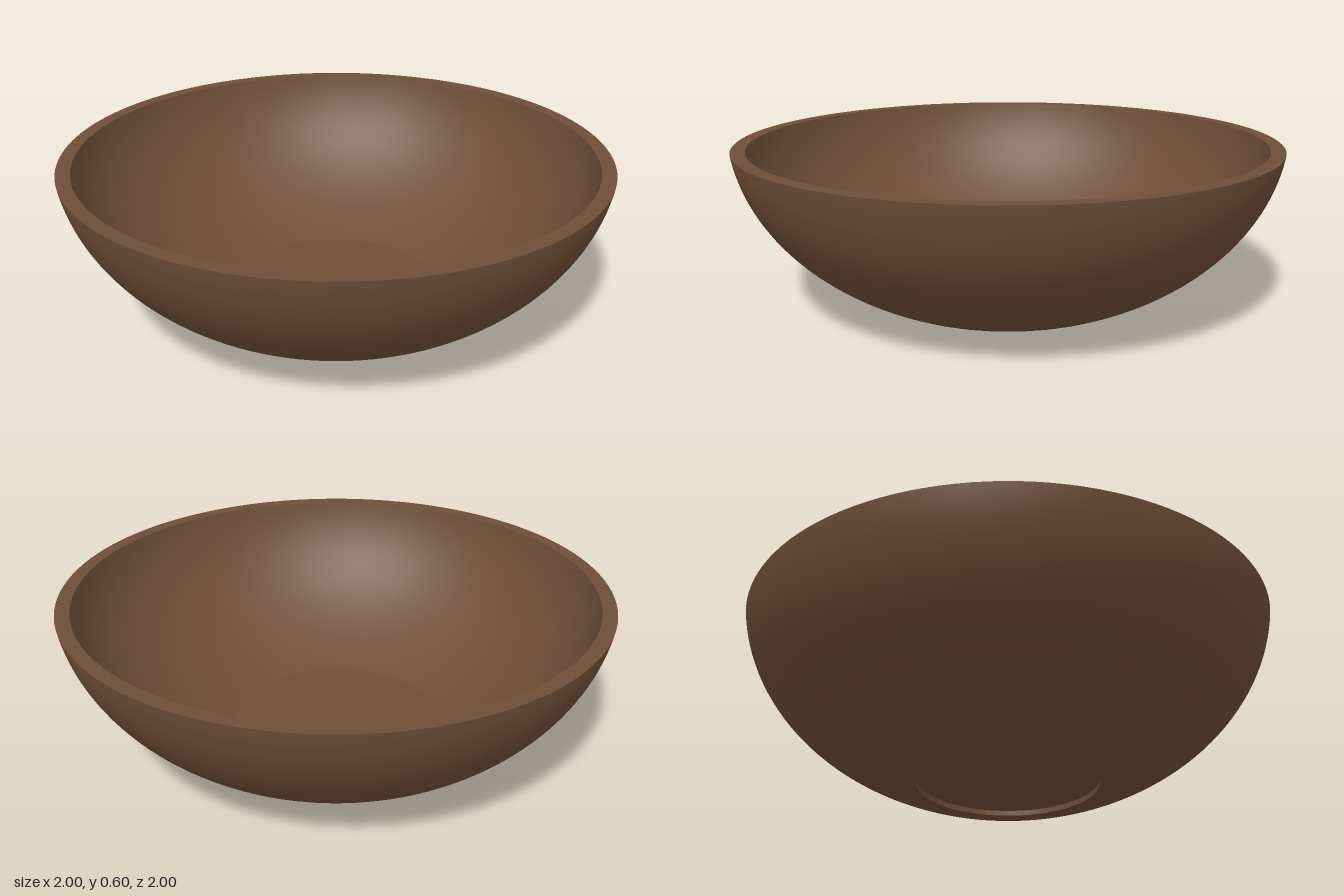
import * as THREE from 'three';

const SEGMENTS = 128;
const wood = new THREE.MeshStandardMaterial({ color: 0x6f4e37 });
wood.name = 'darkWood';

// Points on an upright ellipse, centred on the axis at height yc,
// that runs from (r0, y0) up to (r1, y1).
function ellipseArc(r0, y0, r1, y1, yc, steps = 32) {
  const p = r0 * r0, q = (y0 - yc) ** 2, s = r1 * r1, t = (y1 - yc) ** 2;
  const det = p * t - q * s;
  const a = Math.sqrt(det / (t - q));
  const b = Math.sqrt(det / (p - s));
  const start = Math.atan2((y0 - yc) / b, r0 / a);
  const end = Math.atan2((y1 - yc) / b, r1 / a);
  return Array.from({ length: steps + 1 }, (_, i) => {
    const angle = start + (end - start) * i / steps;
    return [a * Math.cos(angle), yc + b * Math.sin(angle)];
  });
}

// Each part is turned separately, so the edges between parts stay sharp.
function turned(name, profile) {
  const points = profile.map(([r, y]) => new THREE.Vector2(r, y));
  const mesh = new THREE.Mesh(new THREE.LatheGeometry(points, SEGMENTS), wood);
  mesh.name = name;
  return mesh;
}

export function createModel() {
  const bowl = new THREE.Group();
  bowl.name = 'bowl';
  bowl.add(
    // shallow recess inside the foot ring
    turned('footRecess', [[0, 0.02], [0.335, 0.02]]),
    turned('footRecessWall', [[0.335, 0.02], [0.335, 0]]),
    turned('footRing', [[0.335, 0], [0.4, 0]]),
    // curved body and flat rim
    turned('outerWall', ellipseArc(0.4, 0, 1, 0.6, 0.68)),
    turned('rim', [[1, 0.6], [0.948, 0.6]]),
    // hollow with a flat floor
    turned('innerWall', ellipseArc(0.395, 0.05, 0.948, 0.6, 0.68).reverse()),
    turned('innerFloor', [[0.395, 0.05], [0, 0.05]]),
  );
  return bowl;
}
